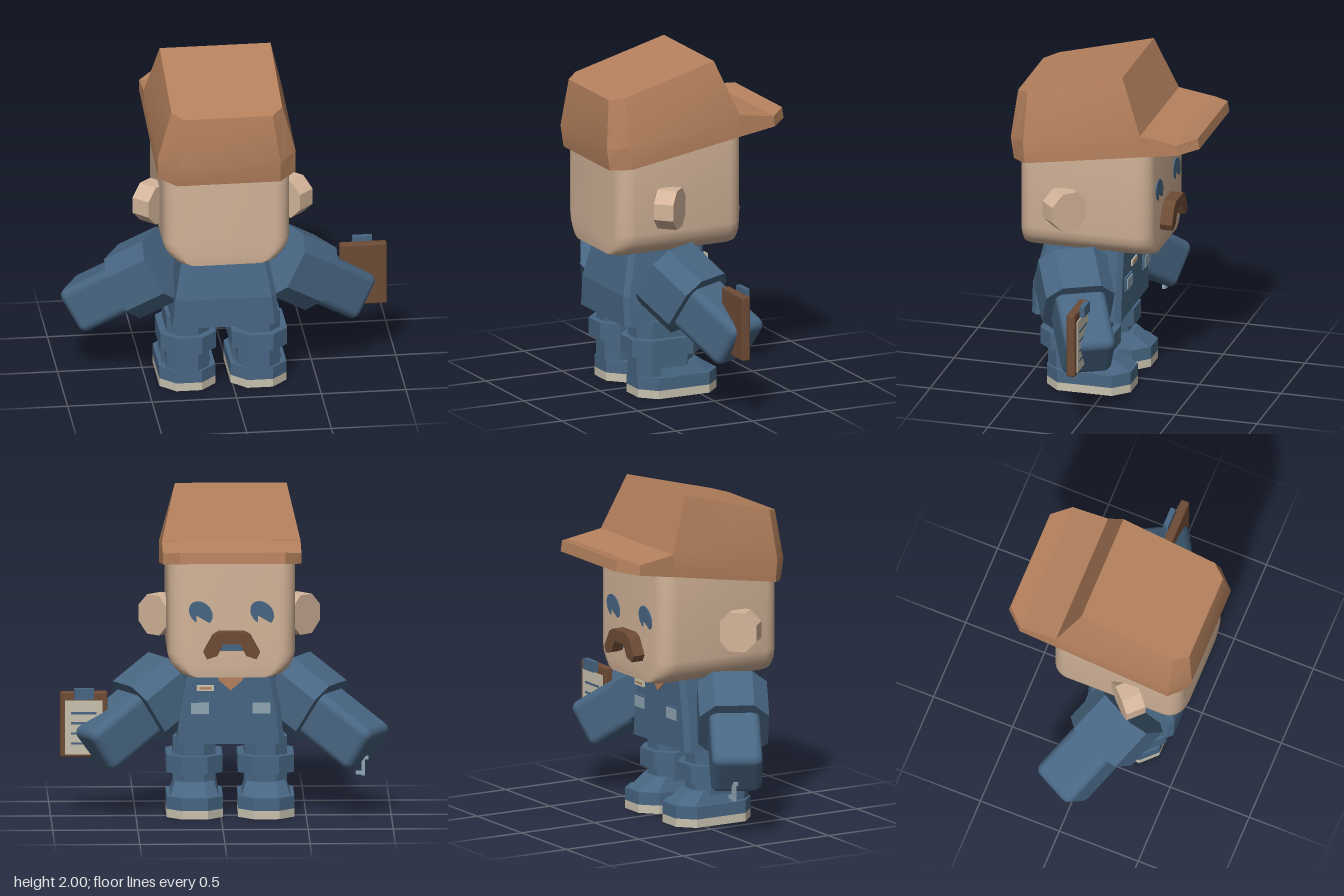
import * as THREE from 'three';
import { toCreasedNormals } from 'three/addons/utils/BufferGeometryUtils.js';
import { RoundedBoxGeometry } from 'three/addons/geometries/RoundedBoxGeometry.js';

const CX = -0.055; // symmetry line of the figure

function material(name, color, side = THREE.FrontSide) {
  const m = new THREE.MeshStandardMaterial({ color, side });
  m.name = name;
  return m;
}
const skin = material('skin', 0xd4b59a);
const blue = material('workBlue', 0x486683);
const tan = material('capTan', 0xb5815d);
const brown = material('darkBrown', 0x6e4c36);
const cream = material('cream', 0xc9c2b0);
const steel = material('steel', 0x8ea5b2);

function add(parent, name, geometry, mat, x = 0, y = 0, z = 0) {
  const mesh = new THREE.Mesh(geometry, mat);
  mesh.name = name;
  mesh.position.set(x, y, z);
  parent.add(mesh);
  return mesh;
}

// Half outline of a rectangle with cut (n = 1) or rounded corners, front to back
function plan(y, w, z0, z1, r, n = 1, squeeze = 1) {
  const half = [];
  for (const [cz, start] of [[z0 + r, 0], [z1 - r, Math.PI / 2]]) {
    for (let i = 0; i <= n; i++) {
      const a = start + (i / n) * Math.PI / 2;
      half.push([-(w - r + r * Math.sin(a)) * squeeze, y, cz - r * Math.cos(a)]);
    }
  }
  return half;
}

// Closed loft through half outlines, each mirrored across x
function loft(halves, crease = 0.1) {
  const rings = halves.map(h => [...h, ...h.map(([x, y, z]) => [-x, y, z]).reverse()]);
  const n = rings[0].length, pos = [];
  const quad = (a, b, c, d) => pos.push(...a, ...b, ...c, ...a, ...c, ...d);
  for (let k = 0; k + 1 < rings.length; k++) {
    for (let i = 0; i < n; i++) {
      const j = (i + 1) % n;
      quad(rings[k][i], rings[k][j], rings[k + 1][j], rings[k + 1][i]);
    }
  }
  const lo = rings[0], hi = rings[rings.length - 1];
  for (let i = 0; i < n / 2 - 1; i++) {
    quad(hi[i], hi[i + 1], hi[n - 2 - i], hi[n - 1 - i]);
    quad(lo[n - 1 - i], lo[n - 2 - i], lo[i + 1], lo[i]);
  }
  const g = new THREE.BufferGeometry();
  g.setAttribute('position', new THREE.Float32BufferAttribute(pos, 3));
  return toCreasedNormals(g, crease);
}

function plate(points, depth) {
  const shape = new THREE.Shape(points.map(p => new THREE.Vector2(...p)));
  return new THREE.ExtrudeGeometry(shape, { depth, bevelEnabled: false });
}
const box = (w, h, d) => new THREE.BoxGeometry(w, h, d);

function buildHead(body) {
  const jaw = [[0.87, 0.7], [0.885, 0.8], [0.92, 0.9], [0.96, 0.97], [1.01, 1], [1.58, 1]];
  add(body, 'head', loft(jaw.map(([y, f]) => plan(y, 0.375, -0.29, 0.52, 0.1, 6, f)), 0.7), skin);

  for (const s of [-1, 1]) {
    // Ears: thick octagons turned toward the face
    const g = new THREE.CylinderGeometry(0.127, 0.127, 0.12, 8);
    g.rotateY(Math.PI / 8).rotateX(Math.PI / 2).rotateY(s * Math.PI * 0.75);
    g.computeVertexNormals();
    add(body, 'ear', toCreasedNormals(g, 0.4), skin, s * 0.407, 1.165, 0.217);

    // Eyes: discs with a bite at the lower edge
    const eye = [];
    for (let i = 0; i <= 20; i++) {
      const a = -0.32 * Math.PI + (i / 20) * 1.62 * Math.PI;
      eye.push([-0.07 * Math.cos(a + Math.PI * 0.08), 0.07 * Math.sin(a)]);
    }
    eye.push([0.025, -0.015]);
    add(body, 'eye', plate(eye, 0.009), blue, s * 0.18, 1.255, -0.297);
  }
  const moustache = [[-0.165, 1.03], [-0.11, 1.13], [-0.075, 1.15], [0.075, 1.15], [0.11, 1.13], [0.165, 1.03],
    [0.145, 0.99], [0.085, 1.01], [0.05, 1.08], [-0.05, 1.08], [-0.085, 1.01], [-0.145, 0.99]];
  add(body, 'moustache', plate(moustache, 0.075), brown, 0, 0, -0.365);
  add(body, 'mouth', plate([[-0.07, 1.03], [0.07, 1.03], [0.05, 1.09], [-0.05, 1.09]], 0.009), blue, 0, 0, -0.297);
}

function buildCap(body) {
  const cap = new THREE.Group();
  cap.name = 'cap';
  body.add(cap);
  add(cap, 'capCrown', loft([
    [[-0.407, 1.54, -0.235], [-0.407, 1.425, 0.465], [-0.305, 1.408, 0.56]],
    [[-0.407, 1.675, -0.24], [-0.407, 1.56, 0.475], [-0.305, 1.54, 0.58]],
    [[-0.328, 2.0, -0.11], [-0.328, 1.845, 0.47], [-0.262, 1.825, 0.547]],
  ], 0.3), tan);
  add(cap, 'capBrim', loft([
    [[0.407, 1.54, -0.235], [0.407, 1.577, -0.47], [0.31, 1.595, -0.577]],
    [[0.407, 1.675, -0.235], [0.407, 1.64, -0.465], [0.31, 1.66, -0.567]],
  ]), tan);
}

function buildTorso(body) {
  add(body, 'torso', loft([
    plan(0.44, 0.315, -0.09, 0.455, 0.03),
    plan(0.62, 0.298, -0.09, 0.455, 0.03),
    plan(0.88, 0.25, -0.09, 0.395, 0.03),
  ]), blue);
  add(body, 'collar', plate([[-0.09, 0.875], [0.09, 0.875], [0.07, 0.82], [0, 0.76], [-0.07, 0.82]], 0.009), tan, 0, 0, -0.098);
  for (const s of [-1, 1]) {
    add(body, 'pocket', box(0.13, 0.085, 0.012), blue, s * 0.18, 0.657, -0.105);
    add(body, 'pocketPatch', box(0.105, 0.065, 0.009), steel, s * 0.18, 0.657, -0.113);
  }
  add(body, 'badge', box(0.1, 0.035, 0.009), cream, 0.15, 0.78, -0.13);
  add(body, 'badgeStripe', box(0.07, 0.012, 0.005), tan, 0.15, 0.78, -0.135);
}

function buildLeg(body, s) {
  const leg = new THREE.Group();
  leg.name = s > 0 ? 'leftLeg' : 'rightLeg';
  leg.position.x = s * 0.21;
  body.add(leg);
  const slab = (name, y0, y1, w, z0, z1, r, mat) =>
    add(leg, name, loft([plan(y0, w, z0, z1, r), plan(y1, w, z0, z1, r)]), mat);
  slab('sole', 0, 0.05, 0.165, -0.148, 0.365, 0.09, cream);
  slab('shoe', 0.05, 0.125, 0.165, -0.148, 0.365, 0.09, blue);
  add(leg, 'instep', loft([
    plan(0.12, 0.145, -0.14, 0.3, 0.08), plan(0.2, 0.115, -0.03, 0.3, 0.05),
  ]), blue);
  slab('trouserLeg', 0.12, 0.46, 0.125, -0.005, 0.365, 0.07, blue);
  slab('trouserFold', 0.25, 0.355, 0.165, -0.045, 0.405, 0.09, blue);
}

function buildArm(body, s) {
  // Local y runs from the hand up to the shoulder
  const arm = new THREE.Group();
  arm.name = s > 0 ? 'leftArm' : 'rightArm';
  arm.position.set(s * 0.815, 0.4, -0.05);
  arm.rotation.set(0, s * 0.487, s, 'YZX');
  body.add(arm);
  add(arm, 'forearm', new RoundedBoxGeometry(0.29, 0.56, 0.3, 3, 0.05), blue, 0, 0.27, 0);
  add(arm, 'sleeve', loft([
    plan(0.376, 0.205, -0.205, 0.205, 0.09), plan(0.66, 0.205, -0.205, 0.205, 0.09),
  ]), blue);
}

function buildClipboard(root) {
  const board = new THREE.Group();
  board.name = 'clipboard';
  board.position.set(0.805, 0.545, 0.01);
  root.add(board);
  add(board, 'board', new RoundedBoxGeometry(0.28, 0.39, 0.055, 1, 0.012), brown);
  add(board, 'paper', box(0.22, 0.32, 0.008), cream, 0, -0.015, -0.03);
  for (let i = 0; i < 4; i++) {
    add(board, 'writtenLine', box(0.15, 0.013, 0.004), blue, 0, 0.07 - i * 0.06, -0.035);
  }
  add(board, 'clip', box(0.115, 0.065, 0.03), blue, 0, 0.187, -0.045);
}

function buildKey(root) {
  const key = new THREE.Group();
  key.name = 'key';
  key.position.set(-0.835, 0.3, -0.05);
  root.add(key);
  add(key, 'keyShaft', box(0.02, 0.115, 0.022), steel);
  add(key, 'keyTooth', box(0.045, 0.02, 0.022), steel, 0.022, -0.04, 0);
  add(key, 'keyBow', box(0.06, 0.02, 0.022), steel, 0, 0.05, 0);
}

export function createModel() {
  const root = new THREE.Group();
  root.name = 'worker';
  const body = new THREE.Group();
  body.name = 'body';
  body.position.x = CX;
  root.add(body);
  buildHead(body);
  buildCap(body);
  buildTorso(body);
  for (const s of [-1, 1]) {
    buildLeg(body, s);
    buildArm(body, s);
  }
  buildClipboard(root);
  buildKey(root);
  return root;
}
